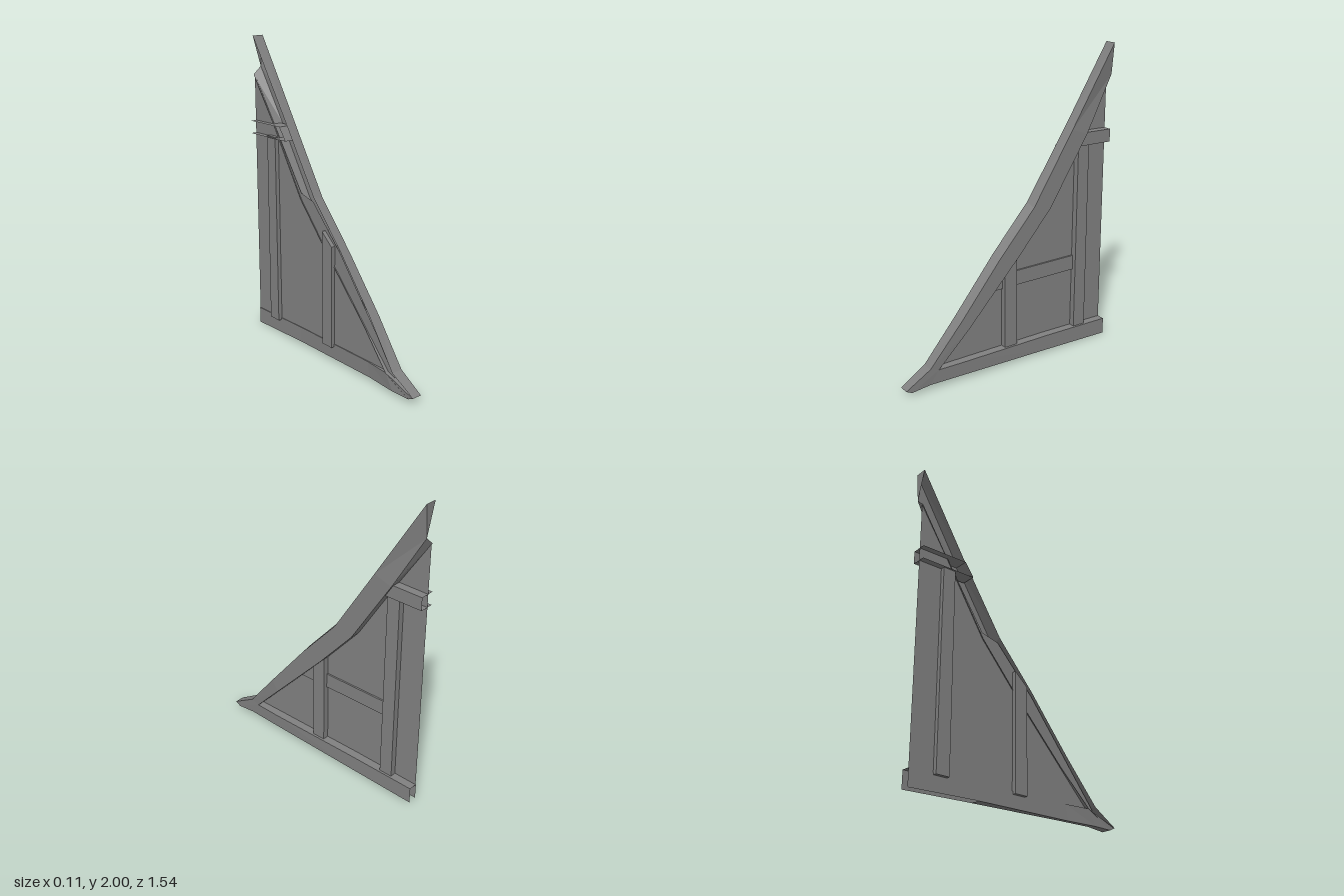
import * as THREE from 'three';

const material = new THREE.MeshStandardMaterial({ color: 0x808080, flatShading: true, side: THREE.DoubleSide });

// Mesh from a list of corners, three to a triangle
function facets(name, corners) {
  const geometry = new THREE.BufferGeometry();
  geometry.setAttribute('position', new THREE.Float32BufferAttribute(corners.flat(), 3));
  geometry.computeVertexNormals();
  const mesh = new THREE.Mesh(geometry, material);
  mesh.name = name;
  return mesh;
}

// Corners of a beam section: +x outer, -x outer, -x inner, +x inner.
// drop lowers the outer +x corner; rise lifts the inner one and pulls it in.
const ring = ([oz, oy, iz, iy, x0, x1, drop = 0, rise = 0]) => [
  [x1, oy - drop, oz], [x0, oy, oz], [x0, iy, iz], [x1 - rise * 0.4, iy + rise, iz],
];

// Beam lofted from front to back, with an open back end. Sides are numbered
// 0 outer, 1 -x face, 2 inner, 3 +x face; those left out stay open.
function beam(name, sections, sides, capped) {
  const rings = sections.map(ring);
  const corners = [];
  for (let i = 0; i < rings.length - 1; i++) {
    const a = rings[i], b = rings[i + 1];
    for (const k of sides) {
      const n = (k + 1) % 4;
      corners.push(a[k], b[k], a[n], a[n], b[k], b[n]);
    }
  }
  if (capped) {
    const [A, B, C, D] = rings[0];
    corners.push(A, B, C, A, C, D);
  }
  return facets(name, corners);
}

const outline = (points) => new THREE.Shape(points.map(([z, y]) => new THREE.Vector2(-z, y)));

// Board with a [z, y] outline, reaching from x0 to x1
function board(name, points, x0, x1) {
  const geometry = new THREE.ExtrudeGeometry(outline(points), { depth: x1 - x0, bevelEnabled: false });
  geometry.rotateY(Math.PI / 2).translate(x0, 0, 0);
  const mesh = new THREE.Mesh(geometry, material);
  mesh.name = name;
  return mesh;
}

export function createModel() {
  const group = new THREE.Group();
  group.name = 'halfGable';

  // Thin wall infill
  const wall = new THREE.ShapeGeometry(outline([
    [-0.77, 0.005], [-0.3, 0.018], [0.62, 0.04], [0.59, 0.13], [0.1, 0.74],
    [-0.17, 1.02], [-0.29, 1.05], [-0.57, 1.46], [-0.77, 1.75],
  ]));
  wall.rotateY(Math.PI / 2).translate(-0.018, 0, 0);
  const panel = new THREE.Mesh(wall, material);
  panel.name = 'wallPanel';
  group.add(panel);

  // Bent rafter with a flared foot, open towards -x
  const top = [-0.77, 2, -0.77, 1.75, -0.028, 0.05, 0, 0.05];
  group.add(beam('rafter', [
    [0.77, 0.04, 0.73, 0.02, -0.035, 0.03],
    [0.6, 0.14, 0.54, 0.12, -0.043, 0.033],
    [0.38, 0.42, 0.33, 0.34, -0.026, 0.05, 0.012],
    [0.1, 0.765, -0.05, 0.74, -0.025, 0.05, 0.018],
    [-0.16, 1.055, -0.29, 1.01, -0.025, 0.05, 0.02],
    [-0.45, 1.5, -0.57, 1.45, -0.022, 0.052, 0.01],
    top,
  ], [0, 2, 3], true));

  // Half-closed upper end of the rafter
  const [outerLeft, outerRight, , innerLeft] = ring(top);
  group.add(facets('rafterEnd', [outerLeft, innerLeft, outerRight]));

  // Sill beam, open underneath towards the back
  const sillJoint = [-0.3, 0.118, -0.3, 0.015, -0.022, 0.038];
  group.add(beam('sillFront', [
    [0.765, 0.038, 0.73, 0.02, -0.035, 0.03],
    [0.54, 0.12, 0.6, 0.02, -0.041, 0.033, 0, 0.012],
    [0.36, 0.12, 0.38, 0.02, -0.024, 0.038, 0, 0.01],
    sillJoint,
  ], [0, 1, 2, 3], true));
  group.add(beam('sillBack', [
    sillJoint,
    [-0.77, 0.108, -0.77, 0, -0.022, 0.036],
  ], [0, 1, 3], false));

  // Collar beam, open towards -x, its front end cut to the roof slope
  group.add(beam('collarBeam', [
    [-0.46, 1.455, -0.4, 1.372, -0.058, 0.036],
    [-0.77, 1.448, -0.77, 1.365, -0.058, 0.036],
  ], [0, 2, 3], true));

  // Upright posts and cross rail
  group.add(board('frontPost', [[0.04, 0.1], [0.04, 0.78], [-0.052, 0.86], [-0.052, 0.1]], -0.045, 0.022));
  group.add(board('rearPost', [[-0.52, 0.1], [-0.525, 1.375], [-0.61, 1.375], [-0.61, 0.1]], -0.045, 0.022));
  group.add(board('crossRail', [[0.17, 0.52], [0.07, 0.618], [-0.53, 0.618], [-0.53, 0.52]], -0.017, -0.006));

  return group;
}
